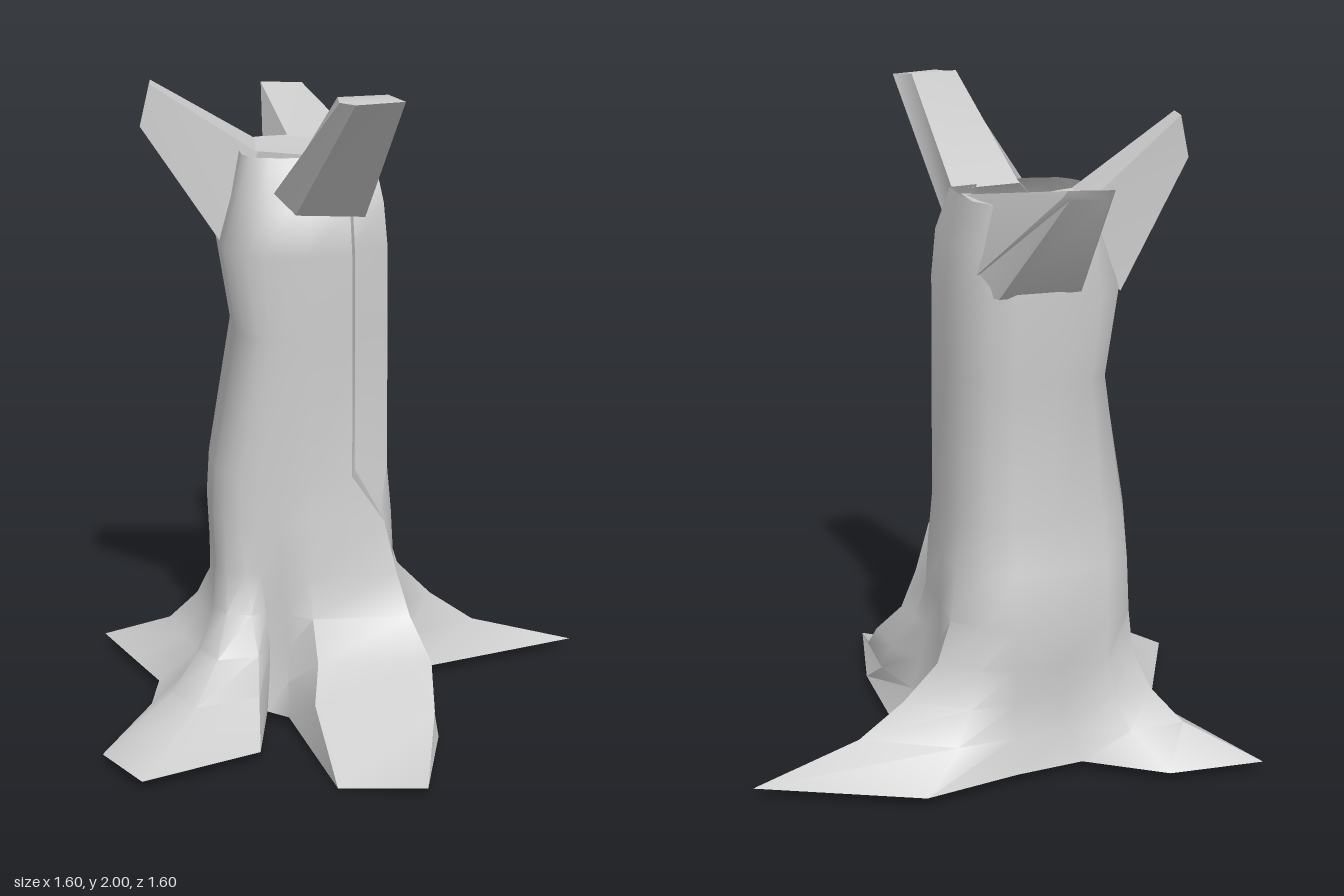
import * as THREE from 'three';
import { toCreasedNormals } from 'three/addons/utils/BufferGeometryUtils.js';

const material = new THREE.MeshStandardMaterial({ color: 0xcccccc, side: THREE.DoubleSide });

function build(name, points, index) {
  const g = new THREE.BufferGeometry();
  g.setAttribute('position', new THREE.Float32BufferAttribute(points.flat(), 3));
  g.setIndex(index);
  const mesh = new THREE.Mesh(toCreasedNormals(g, 0.8), material);
  mesh.name = name;
  return mesh;
}

// Join closed rings of equal length; optionally close the last one
function loft(name, rings, capped) {
  const n = rings[0].length, index = [];
  for (let r = 0; r < rings.length - 1; r++) {
    for (let i = 0; i < n; i++) {
      const a = r * n + i, b = r * n + (i + 1) % n;
      index.push(a, a + n, b, b, a + n, b + n);
    }
  }
  const last = (rings.length - 1) * n;
  if (capped) for (let i = 1; i < n - 1; i++) index.push(last, last + i + 1, last + i);
  return build(name, rings.flat(), index);
}

// Ground outline (x, z): root tips and the notches between them
const ground = [
  [0.80, -0.40], [0.27, -0.20], [0.25, 0.02], [0.22, 0.40], [0.12, 0.80],
  [-0.13, 0.69], [-0.21, 0.18], [-0.27, 0.12], [-0.33, 0.45], [-0.70, 0.63],
  [-0.80, 0.40], [-0.62, 0.00], [-0.58, -0.20], [-0.64, -0.40], [-0.72, -0.67],
  [-0.42, -0.67], [-0.20, -0.50], [0.02, -0.54], [0.33, -0.63],
];
// Matching trunk outline (x, z)
const stem = [
  [0.125, -0.33], [0.13, -0.18], [0.125, -0.02], [0.02, 0.01], [0.00, 0.09],
  [-0.13, 0.09], [-0.20, 0.085], [-0.25, 0.07], [-0.29, 0.05], [-0.32, 0.00],
  [-0.34, -0.06], [-0.34, -0.14], [-0.34, -0.20], [-0.34, -0.28], [-0.31, -0.38],
  [-0.25, -0.43], [-0.13, -0.45], [0.00, -0.45], [0.07, -0.41],
];
// Height, root flare, bulge of the -x side, x scale, front and back z scale, front crest shift
const levels = [
  [0.03, 1, 1, 1, 1, 1, 0], [0.13, 0.5, 1, 1, 1, 1, 0.14], [0.23, 0.29, 1, 1, 1, 1.05, 0.18],
  [0.34, 0.12, 1.1, 1.03, 1, 1.12, 0.15], [0.47, 0.05, 1.15, 1.06, 1.03, 1.17, 0.12],
  [0.63, 0.02, 1.24, 1.04, 1.02, 1.05, 0.09], [0.77, 0, 1.28, 1, 1, 0.93, 0],
  [1.2, 0, 0.97, 1, 1, 0.97, 0], [1.46, 0, 1.15, 1, 1, 1.02, 0],
  [1.6, 0, 1.03, 0.95, 0.98, 1, 0], [1.74, 0, 1, 0.86, 0.55, 0.95, 0],
];
const CX = -0.11, CZ = -0.2;

function trunkRing([y, flare, bulge, sx, front, rear, crest], level) {
  const ring = stem.map(([x, z], i) => {
    const tx = CX + (x - CX) * sx * (x < CX ? bulge : 1);
    const tz = CZ + (z - CZ) * (z > CZ ? front : rear);
    const [gx, gz] = ground[i];
    return [tx + (gx - tx) * flare, y, tz + (gz - tz) * flare];
  });
  // the front root widens toward +x as it descends
  ring[3][0] += crest * 0.75;
  ring[4][0] += crest;
  // its other edge dips at the tip and then humps up
  if (level === 0) ring[5][1] = 0;
  if (level === 1) ring[5] = [-0.17, 0.185, 0.49];
  return ring;
}

export function createModel() {
  const group = new THREE.Group();
  group.name = 'treeStump';

  // Hollow trunk with spreading roots
  const rings = levels.map(trunkRing);
  group.add(loft('trunkAndRoots', rings, false));

  // Sheet covering the back half of the hollow
  const rim = rings[rings.length - 1];
  const back = [...rim.slice(12), rim[0], [0.09, 1.74, -0.2]];
  const index = [];
  for (let i = 1; i < back.length; i++) index.push(0, i + 1, i);
  group.add(build('backRim', [[CX, 1.72, -0.2], ...back], index));

  // Broken branches: base ring and tip ring
  const branches = {
    frontBranch: [
      [[0.08, 1.73, -0.09], [-0.14, 1.73, -0.06], [-0.23, 1.65, 0.04], [-0.17, 1.59, 0.085], [0.04, 1.58, 0.085]],
      [[0.06, 2, 0.39], [-0.09, 2, 0.41], [-0.09, 1.99, 0.45], [-0.05, 1.99, 0.5], [0.10, 1.99, 0.46]],
    ],
    backBranch: [
      [[-0.13, 1.74, -0.43], [0.08, 1.74, -0.22], [0.12, 1.47, -0.29], [0.05, 1.47, -0.44], [-0.2, 1.48, -0.45]],
      [[-0.17, 1.85, -0.80], [-0.04, 1.85, -0.77], [-0.03, 1.83, -0.76], [-0.05, 1.82, -0.76], [-0.16, 1.82, -0.78]],
    ],
    rightBranch: [
      [[-0.25, 1.73, -0.2], [-0.24, 1.74, -0.41], [-0.34, 1.46, -0.40], [-0.37, 1.46, -0.18]],
      [[-0.58, 1.95, -0.20], [-0.57, 1.95, -0.28], [-0.60, 1.82, -0.27], [-0.61, 1.82, -0.20]],
    ],
  };
  for (const [name, ends] of Object.entries(branches)) {
    group.add(loft(name, ends.map((ring) => [...ring].reverse()), true));
  }
  return group;
}
